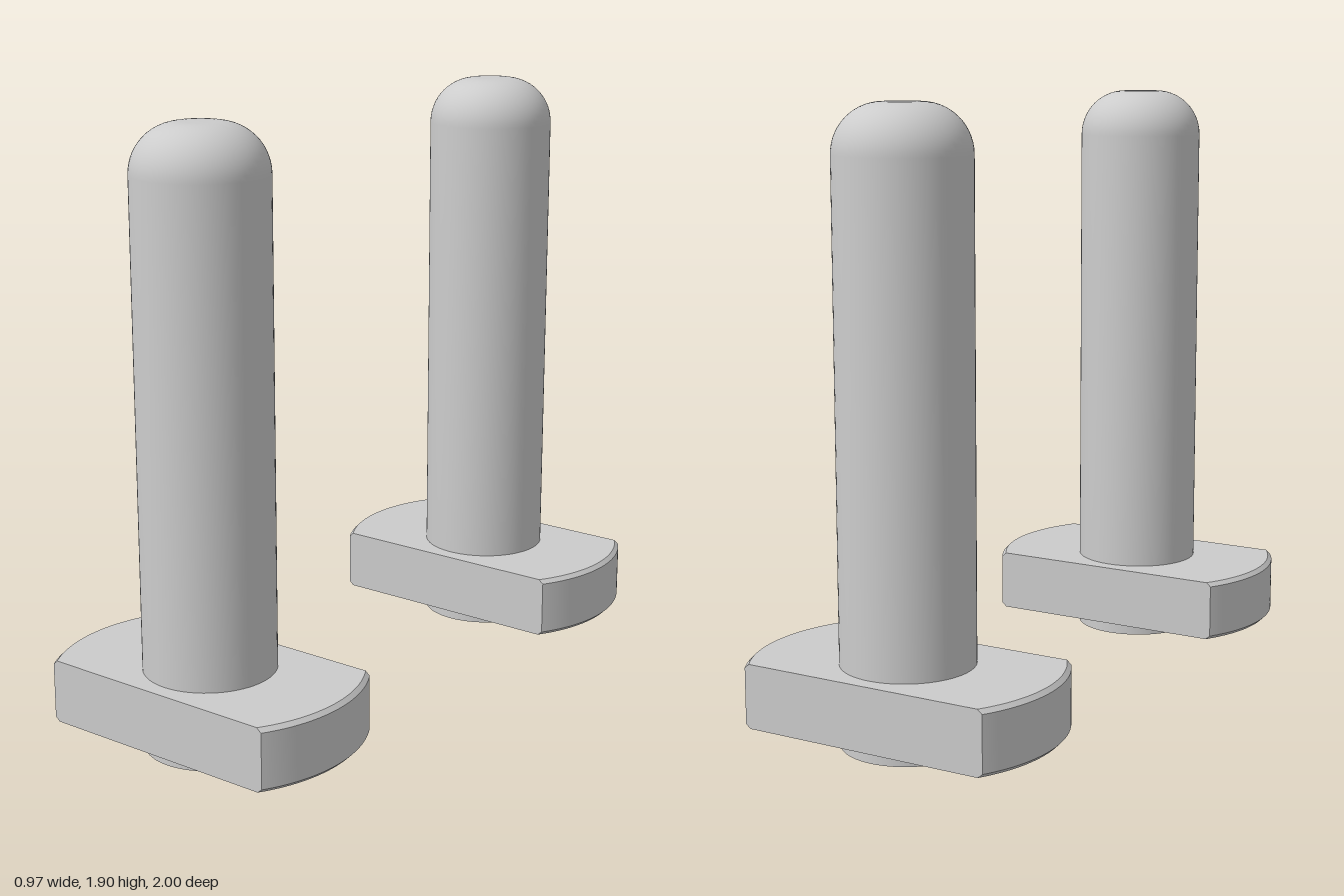
import * as THREE from 'three';
import { toCreasedNormals } from 'three/addons/utils/BufferGeometryUtils.js';

const PIN_R = 0.205, PIN_H = 1.9, DOME_R = 0.15;
const HOLE_R = 0.1, HOLE_DEPTH = 0.5;
const FLANGE_R = 0.485, FLANGE_HALF = 0.255, FLANGE_Y = 0.05, FLANGE_H = 0.2, BEVEL = 0.013;

// Round pin with a filleted top and a blind hole in its foot
function pinGeometry() {
  const points = [[0, HOLE_DEPTH], [HOLE_R, HOLE_DEPTH], [HOLE_R, 0], [PIN_R, 0]]
    .map(([r, y]) => new THREE.Vector2(r, y));
  for (let i = 0; i <= 14; i++) {
    const a = (i / 14) * Math.PI / 2;
    points.push(new THREE.Vector2(
      PIN_R - DOME_R + DOME_R * Math.cos(a),
      PIN_H - DOME_R + DOME_R * Math.sin(a)));
  }
  points.push(new THREE.Vector2(0, PIN_H));
  return toCreasedNormals(new THREE.LatheGeometry(points, 72), 0.6);
}

// Disc with two flat sides, bevelled along the curved ends only
function flangeGeometry() {
  const a = Math.asin(FLANGE_HALF / FLANGE_R);
  const shape = new THREE.Shape();
  shape.absarc(0, 0, FLANGE_R, -a, a, false);
  shape.absarc(0, 0, FLANGE_R, Math.PI - a, Math.PI + a, false);
  shape.closePath();
  const geo = new THREE.ExtrudeGeometry(shape, {
    depth: 3, steps: 3, bevelEnabled: false, curveSegments: 24,
  });
  const heights = [0, BEVEL, FLANGE_H - BEVEL, FLANGE_H];
  const pos = geo.attributes.position;
  for (let i = 0; i < pos.count; i++) {
    const layer = Math.round(pos.getZ(i));
    const y = pos.getY(i);
    // outer layers follow a slightly smaller arc
    const r = layer === 0 || layer === 3 ? FLANGE_R - BEVEL : FLANGE_R;
    pos.setX(i, Math.sign(pos.getX(i)) * Math.sqrt(r * r - y * y));
    pos.setZ(i, heights[layer]);
  }
  geo.rotateX(-Math.PI / 2);
  geo.translate(0, FLANGE_Y, 0);
  return toCreasedNormals(geo, 0.5);
}

export function createModel() {
  const model = new THREE.Group();
  model.name = 'flangedPinPair';
  const material = new THREE.MeshStandardMaterial({ color: 0xcccccc });
  const pinGeo = pinGeometry();
  const flangeGeo = flangeGeometry();

  for (const [name, z] of [['front', 0.745], ['back', -0.745]]) {
    const unit = new THREE.Group();
    unit.name = `${name}FlangedPin`;
    const pin = new THREE.Mesh(pinGeo, material);
    pin.name = `${name}Pin`;
    const flange = new THREE.Mesh(flangeGeo, material);
    flange.name = `${name}Flange`;
    unit.add(pin, flange);
    unit.position.z = z;
    model.add(unit);
  }
  return model;
}
